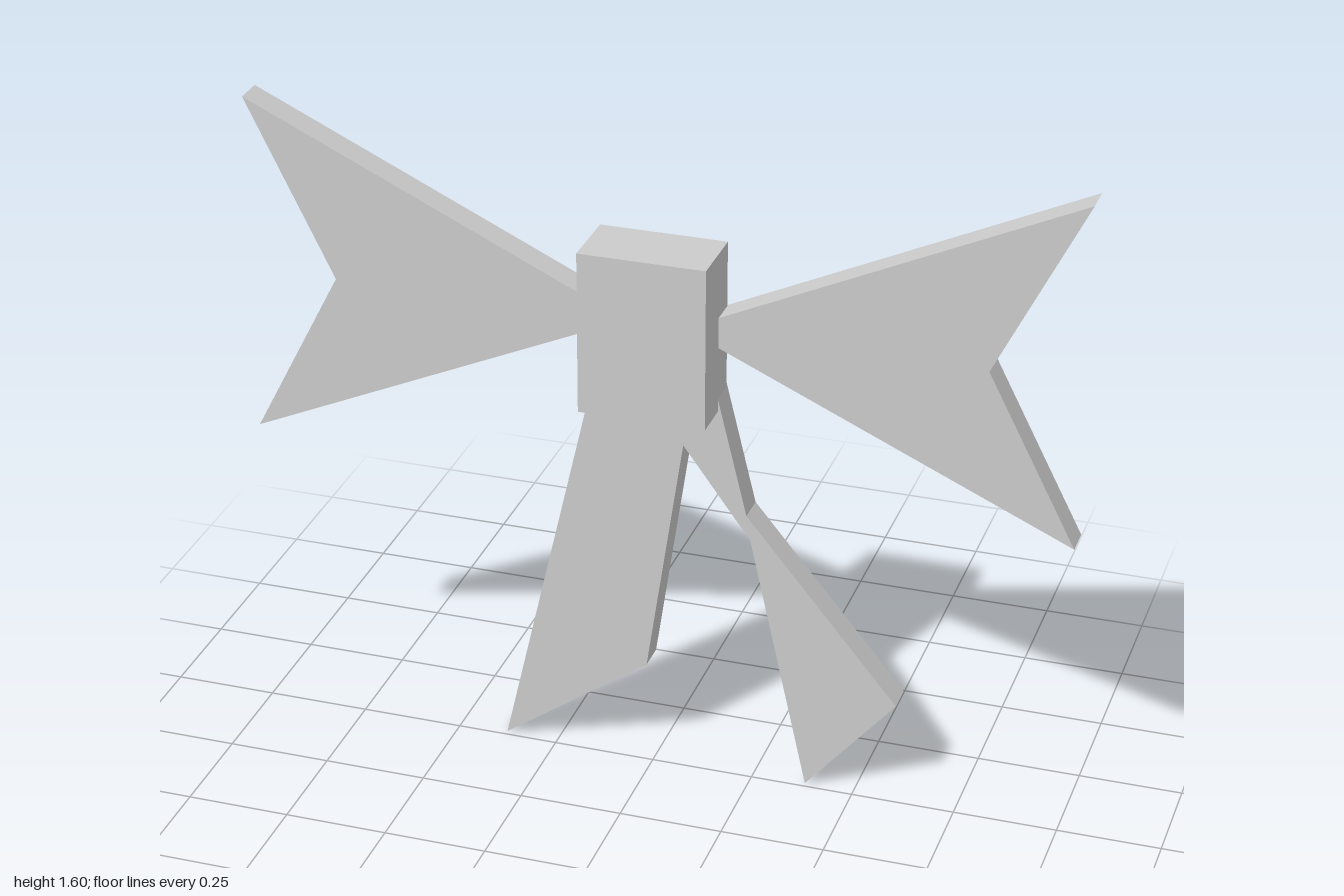
import * as THREE from 'three';

const BACK = -0.087, THICK = 0.074;

// Flat ribbon piece cut from an outline
function ribbon(name, points, material) {
  const shape = new THREE.Shape(points.map(([x, y]) => new THREE.Vector2(x, y)));
  const geometry = new THREE.ExtrudeGeometry(shape, { depth: THICK, bevelEnabled: false });
  geometry.translate(0, 0, BACK);
  const mesh = new THREE.Mesh(geometry, material);
  mesh.name = name;
  return mesh;
}

export function createModel() {
  const group = new THREE.Group();
  group.name = 'ribbonBow';
  const material = new THREE.MeshStandardMaterial({ color: 0xcccccc, flatShading: true });

  // Central knot, its back just inside the ribbon's back face
  const knot = new THREE.Mesh(new THREE.BoxGeometry(0.306, 0.4, 0.167), material);
  knot.name = 'knot';
  knot.position.set(0, 1.167, 0.0035);
  group.add(knot);

  // Notched side loops, mirrored
  for (const [side, name] of [[1, 'leftLoop'], [-1, 'rightLoop']]) {
    const outline = [[0.07, 1.167], [1, 0.75], [0.785, 1.167], [1, 1.6]];
    group.add(ribbon(name, outline.map(([x, y]) => [x * side, y]), material));
  }

  // Hanging tails: one straight, one pinched at a fold
  group.add(ribbon('tails', [
    [-0.125, 1.113], [-0.38, 0], [-0.02, 0.257], [0.07, 0.866], [0.235, 0.642],
    [0.38, 0], [0.598, 0.257], [0.225, 0.705], [0.125, 1.113],
  ], material));

  return group;
}
